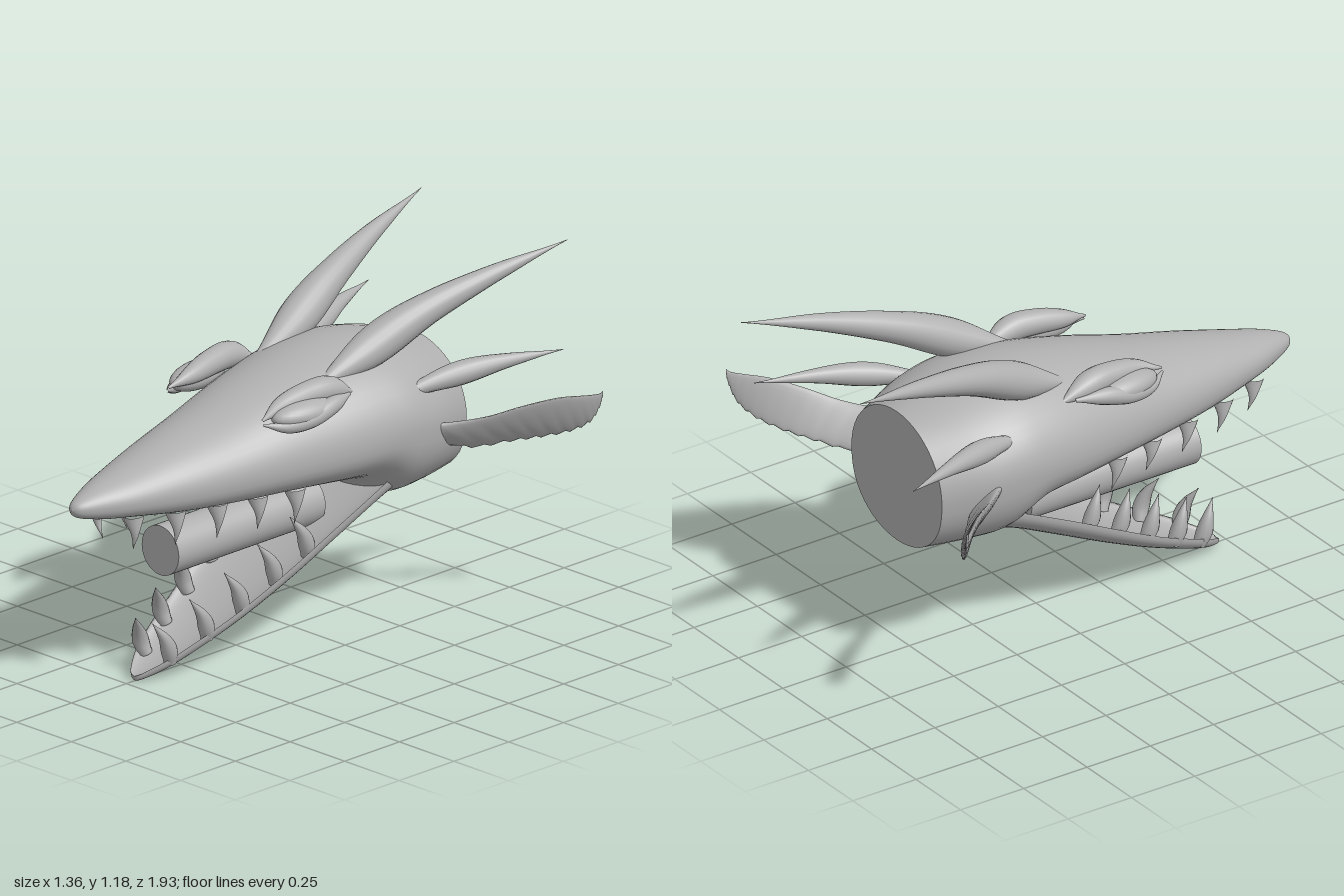
import * as THREE from 'three';

const V = (x, y, z) => new THREE.Vector3(x, y, z);

// Smoothly resample a short table of rows
function smoothRows(rows, count) {
  const cols = rows[0].map((_, c) => new THREE.SplineCurve(rows.map((r, i) => new THREE.Vector2(i, r[c]))));
  return Array.from({ length: count + 1 }, (_, i) => cols.map((c) => c.getPoint(i / count).y));
}

// Skin a series of closed rings and cap both ends
function loft(rings) {
  const n = rings[0].length;
  const pos = [];
  const idx = [];
  rings.forEach((r) => r.forEach((p) => pos.push(p.x, p.y, p.z)));
  for (let i = 0; i < rings.length - 1; i++) {
    for (let j = 0; j < n; j++) {
      const a = i * n + j, b = i * n + (j + 1) % n;
      idx.push(a, a + n, b, a + n, b + n, b);
    }
  }
  [rings[0], rings[rings.length - 1]].forEach((r, end) => {
    const base = pos.length / 3;
    const mid = r.reduce((s, p) => s.add(p), V(0, 0, 0)).divideScalar(n);
    [...r, mid].forEach((p) => pos.push(p.x, p.y, p.z));
    for (let j = 0; j < n; j++) {
      const a = base + j, b = base + (j + 1) % n;
      idx.push(base + n, end ? b : a, end ? a : b);
    }
  });
  const g = new THREE.BufferGeometry();
  g.setAttribute('position', new THREE.Float32BufferAttribute(pos, 3));
  g.setIndex(idx);
  g.computeVertexNormals();
  return g;
}

// Lengthwise body; row = [z, halfWidth, top, widestY, bottom, arch under the middle]
function body(rows, count, power) {
  return loft(smoothRows(rows, count).map(([z, w, top, mid, bot, arch]) =>
    Array.from({ length: 48 }, (_, j) => {
      const a = (j / 48) * Math.PI * 2;
      const s = Math.sin(a);
      const y = s >= 0
        ? mid + (top - mid) * s
        : mid - (mid - bot) * Math.pow(-s, power) + arch * Math.pow(-s, 4);
      return V(Math.max(w, 0.001) * Math.cos(a), y, z);
    })));
}

// Curved spike: a tube whose radius follows a short list
function spike(points, radii, segs = 24, sides = 16) {
  const curve = new THREE.CatmullRomCurve3(points);
  const g = new THREE.TubeGeometry(curve, segs, 1, sides);
  const p = g.attributes.position;
  const profile = new THREE.SplineCurve(radii.map((r, i) => new THREE.Vector2(i, r)));
  for (let i = 0; i <= segs; i++) {
    const c = curve.getPointAt(i / segs);
    const r = Math.max(profile.getPoint(i / segs).y, 0.0008);
    for (let j = 0; j <= sides; j++) {
      const k = i * (sides + 1) + j;
      const v = V(0, 0, 0).fromBufferAttribute(p, k).sub(c).multiplyScalar(r).add(c);
      p.setXYZ(k, v.x, v.y, v.z);
    }
  }
  return g;
}

function mirrored(geo) {
  const g = geo.clone().scale(-1, 1, 1);
  const ix = g.index;
  for (let i = 0; i < ix.count; i += 3) {
    const b = ix.getX(i + 1);
    ix.setX(i + 1, ix.getX(i + 2));
    ix.setX(i + 2, b);
  }
  return g;
}

export function createModel() {
  const model = new THREE.Group();
  model.name = 'hornedHead';
  const grey = new THREE.MeshStandardMaterial({ color: 0xb0b0b0 });
  grey.name = 'stoneGrey';

  const add = (name, geo) => {
    const m = new THREE.Mesh(geo, grey);
    m.name = name;
    model.add(m);
  };
  const pair = (name, geo) => {
    add(name + 'Left', geo);
    add(name + 'Right', mirrored(geo));
  };

  // Skull, snout and neck stump
  add('skull', body([
    [1, 0, 0.67, 0.67, 0.67, 0],
    [0.98, 0.03, 0.695, 0.67, 0.642, 0],
    [0.9, 0.072, 0.725, 0.67, 0.615, 0.005],
    [0.8, 0.112, 0.75, 0.67, 0.595, 0.015],
    [0.6, 0.172, 0.8, 0.67, 0.56, 0.03],
    [0.4, 0.222, 0.845, 0.675, 0.54, 0.035],
    [0.2, 0.268, 0.9, 0.68, 0.53, 0.03],
    [0, 0.31, 0.943, 0.69, 0.515, 0.02],
    [-0.15, 0.33, 0.96, 0.7, 0.495, 0],
    [-0.27, 0.335, 0.955, 0.7, 0.412, 0],
    [-0.4, 0.315, 0.93, 0.68, 0.408, 0],
    [-0.55, 0.255, 0.885, 0.65, 0.412, 0],
  ], 66, 0.85));

  // Lower jaw with a trough on top
  add('lowerJaw', body([
    [0.715, 0, 0.02, 0.022, 0.018, 0],
    [0.7, 0.03, 0.025, 0.038, 0.006, 0],
    [0.6, 0.088, 0.055, 0.092, 0.032, 0],
    [0.4, 0.146, 0.138, 0.188, 0.11, 0],
    [0.2, 0.188, 0.24, 0.296, 0.2, 0],
    [0, 0.212, 0.345, 0.402, 0.297, 0],
    [-0.2, 0.226, 0.45, 0.5, 0.39, 0],
    [-0.34, 0.22, 0.54, 0.56, 0.425, 0],
  ], 42, 0.85));

  // Blunt round tongue
  add('tongue', new THREE.CylinderGeometry(0.085, 0.085, 0.67, 40)
    .rotateX(Math.PI / 2).translate(0, 0.425, 0.26));

  // Large swept horns and smaller cheek horns
  pair('largeHorn', spike(
    [V(0.145, 0.87, 0.04), V(0.165, 0.94, -0.14), V(0.21, 1.04, -0.37), V(0.268, 1.115, -0.62), V(0.335, 1.182, -0.93)],
    [0.012, 0.064, 0.05, 0.027, 0.001], 40, 20));
  pair('cheekHorn', spike(
    [V(0.26, 0.81, -0.28), V(0.305, 0.838, -0.4), V(0.365, 0.86, -0.56), V(0.447, 0.868, -0.8)],
    [0.02, 0.04, 0.022, 0.001]));

  // Leaf-shaped ears with a ragged lower edge; row = [x, top, bottom, half thickness]
  const earRows = smoothRows([
    [0.25, 0.69, 0.6, 0.035],
    [0.33, 0.695, 0.576, 0.024],
    [0.42, 0.715, 0.598, 0.014],
    [0.5, 0.75, 0.618, 0.011],
    [0.58, 0.778, 0.645, 0.009],
    [0.64, 0.785, 0.685, 0.007],
    [0.67, 0.79, 0.74, 0.005],
    [0.68, 0.8, 0.78, 0.003],
  ], 42);
  pair('ear', loft(earRows.map(([x, top, low, t], i) => {
    const bot = low + (i % 3) * 0.004;
    return Array.from({ length: 20 }, (_, j) => {
      const a = (j / 20) * Math.PI * 2;
      const y = (top + bot) / 2 + ((top - bot) / 2) * Math.sin(a);
      const reach = Math.max(0, (x - 0.3) / 0.38);
      const sweep = 0.12 * (1 - reach * reach) * ((top - y) / (top - bot));
      const z = -0.38 - (x - 0.33) * 1.05 - sweep;
      return V(x + 0.7 * t * Math.cos(a), y, z + 0.72 * t * Math.cos(a));
    });
  })));

  // Eyes tucked under heavy brows
  pair('eye', new THREE.SphereGeometry(1, 24, 16).scale(0.058, 0.045, 0.13)
    .rotateY(-0.12).translate(0.245, 0.858, 0.18));
  pair('brow', spike(
    [V(0.215, 0.862, 0.345), V(0.205, 0.883, 0.26), V(0.215, 0.9, 0.15), V(0.225, 0.9, 0.06), V(0.225, 0.86, -0.06)],
    [0.004, 0.032, 0.043, 0.042, 0.006]));
  pair('eyeLid', spike(
    [V(0.22, 0.85, 0.345), V(0.255, 0.836, 0.28), V(0.276, 0.843, 0.18), V(0.276, 0.865, 0.09), V(0.25, 0.87, -0.02)],
    [0.004, 0.024, 0.03, 0.028, 0.006]));

  // Upper fangs, flared at the gum; [x, z, tip height]
  [[0.083, 0.8, 0.5], [0.125, 0.65, 0.485], [0.155, 0.49, 0.475], [0.18, 0.33, 0.47], [0.2, 0.18, 0.455]]
    .forEach(([x, z, tip], i) => pair('upperTooth' + (i + 1), spike(
      [V(x, 0.625 - i * 0.01, z), V(x + 0.003, 0.56 - i * 0.008, z - 0.004), V(x - 0.014, tip, z - 0.012)],
      [0.036, 0.014, 0.001], 12, 12)));

  // Lower fangs, leaning forward and inward; [x, z, rim height]
  [[0.055, 0.61, 0.08], [0.094, 0.48, 0.14], [0.122, 0.35, 0.205], [0.144, 0.22, 0.275], [0.162, 0.09, 0.34]]
    .forEach(([x, z, y], i) => pair('lowerTooth' + (i + 1), spike(
      [V(x, y - 0.022, z - 0.005), V(x + 0.01, y + 0.02, z + 0.008), V(x + 0.006, y + 0.065, z + 0.025), V(x - 0.016, y + 0.122, z + 0.06)],
      [0.022, 0.028, 0.016, 0.001], 14, 12)));

  return model;
}
